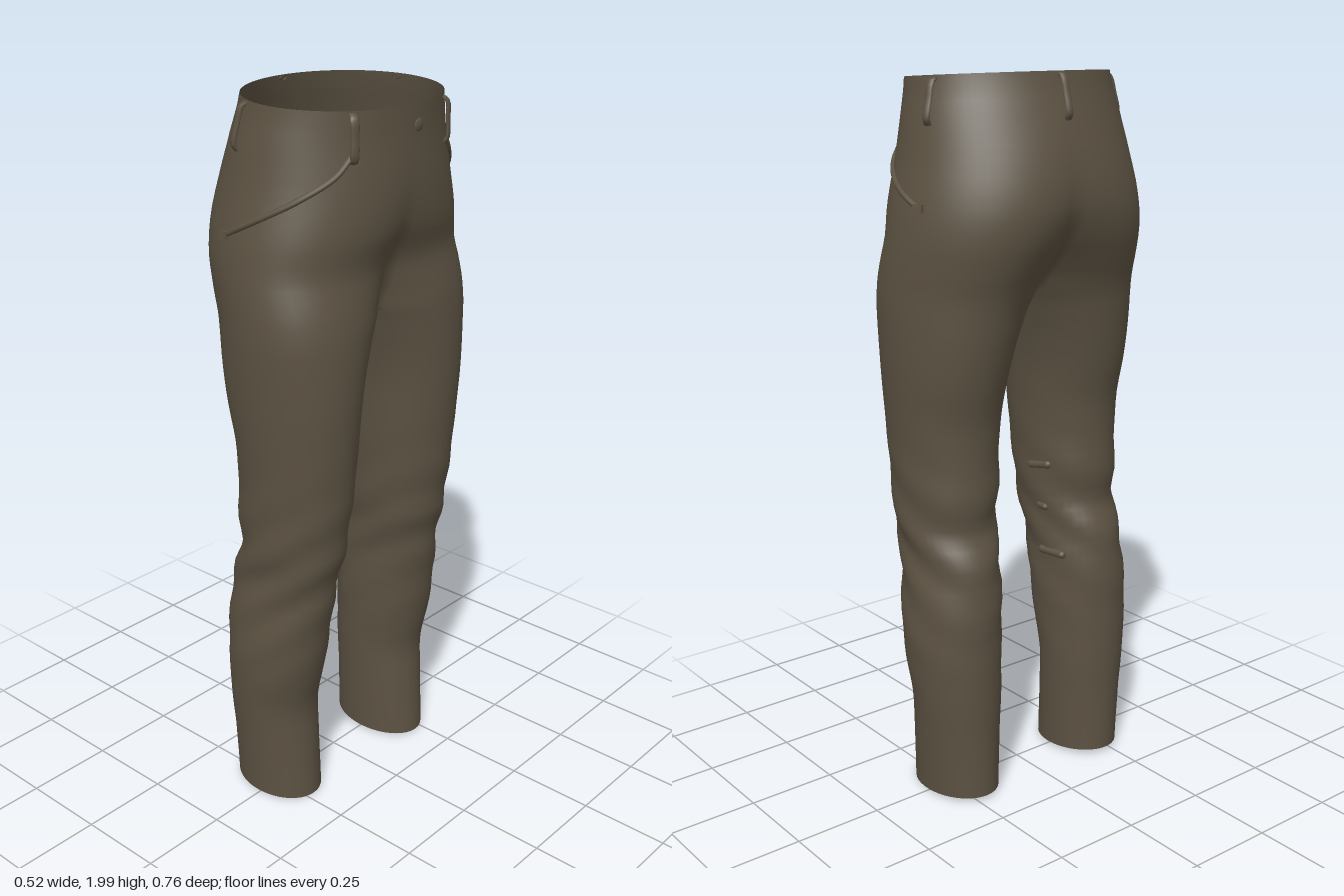
import * as THREE from 'three';
import { mergeVertices } from 'three/addons/utils/BufferGeometryUtils.js';

const CROTCH = 1.44, SPREAD = Math.sin(Math.PI / 3);

// cross-sections: height, back x, front x, inner z, outer z, roundness of the inner side
const SECTIONS = [
  [0.012, -0.147, 0.142, 0.122, 0.327, 1],
  [0.2, -0.147, 0.127, 0.115, 0.34, 1],
  [0.3, -0.15, 0.12, 0.11, 0.35, 1],
  [0.4, -0.15, 0.14, 0.105, 0.36, 1],
  [0.5, -0.15, 0.155, 0.1, 0.363, 1],
  [0.63, -0.147, 0.17, 0.1, 0.352, 1],
  [0.72, -0.13, 0.185, 0.095, 0.345, 1],
  [0.8, -0.105, 0.2, 0.085, 0.35, 1],
  [0.9, -0.115, 0.215, 0.077, 0.352, 1],
  [1.0, -0.11, 0.225, 0.07, 0.356, 1],
  [1.1, -0.117, 0.233, 0.062, 0.362, 1],
  [1.2, -0.14, 0.24, 0.052, 0.37, 1],
  [1.3, -0.16, 0.243, 0.035, 0.376, 0.97],
  [1.39, -0.175, 0.243, 0.015, 0.38, 0.91],
  [1.44, -0.188, 0.241, 0, 0.38, SPREAD],
  [1.5, -0.212, 0.234, 0, 0.378, 0.74],
  [1.58, -0.243, 0.226, 0, 0.372, 0.52],
  [1.67, -0.261, 0.251, 0, 0.36, 0.28],
  [1.78, -0.25, 0.262, 0, 0.336, 0.1],
  [1.9, -0.218, 0.26, 0, 0.314, 0],
  [2.0, -0.19, 0.26, 0, 0.295, 0],
];

// smooth section at any height
function sectionAt(y) {
  const last = SECTIONS.length - 1;
  let i = 0;
  while (i < last - 1 && y >= SECTIONS[i + 1][0]) i++;
  const t = THREE.MathUtils.clamp((y - SECTIONS[i][0]) / (SECTIONS[i + 1][0] - SECTIONS[i][0]), 0, 1);
  const [p, q, r, s] = [i - 1, i, i + 1, i + 2].map((k) => SECTIONS[THREE.MathUtils.clamp(k, 0, last)]);
  return q.map((b, k) => b + 0.5 * t * (r[k] - p[k]
    + t * (2 * p[k] - 5 * b + 4 * r[k] - s[k] + t * (3 * (b - r[k]) + s[k] - p[k]))));
}

// point of the cloth: angle 0 = front, PI/2 = outer side, PI = back
function clothPoint(y, a, side) {
  const [, xb, xf, zi, zo, round] = sectionAt(y);
  const S = THREE.MathUtils.clamp(round, 0, 1);
  const inner = y >= CROTCH - 1e-6 ? 0 : Math.max(zi, 0);
  const cos = Math.cos(a), sin = Math.sin(a);
  let x = (xb + xf) / 2 + (xf - xb) / 2 * cos;
  let z = inner + (zo - inner) * Math.max(0, (sin + S) / (1 + S));
  // thighs are fullest a little forward of the middle
  x += 0.03 * Math.max(0, sin) ** 2 * Math.exp(-(((y - 1.52) / 0.22) ** 2));
  // soft folds around the knee
  const fold = 0.005 * Math.exp(-(((y - 0.72) / 0.22) ** 2)) * Math.sin(40 * (y - 0.12 * cos) + sin);
  x += fold * cos;
  z += fold * sin;
  // the left shin is slimmer in front
  if (side > 0) x -= 0.01 * (1 + cos) * (1 - THREE.MathUtils.smoothstep(y, 0, 0.8));
  // waist and hem dip towards the front
  const dip = 0.025 * (x + 0.19) / 0.45 * THREE.MathUtils.smoothstep(y, 1.85, 2)
    + 0.007 * cos * (1 - THREE.MathUtils.smoothstep(y, 0, 0.15));
  return new THREE.Vector3(x, y - dip, z * side);
}

// outward direction of the cloth
function clothNormal(y, a, side) {
  const around = clothPoint(y, a + 0.03, side).sub(clothPoint(y, a - 0.03, side));
  const up = clothPoint(y + 0.02, a, side).sub(clothPoint(y - 0.02, a, side));
  return around.cross(up).multiplyScalar(side).normalize();
}

// angle at which the cloth has roughly the given x
function angleAtX(x, y) {
  const [, xb, xf] = sectionAt(y);
  return Math.acos(THREE.MathUtils.clamp((x - (xb + xf) / 2) / ((xf - xb) / 2), -1, 1));
}

// both legs are closed tubes that open into one hip shell above the crotch
function trouserGeometry() {
  const M = 36, N = 10, STEPS = 3, heights = [];
  for (let i = 0; i < SECTIONS.length - 1; i++) {
    for (let k = 0; k < STEPS; k++) {
      heights.push(THREE.MathUtils.lerp(SECTIONS[i][0], SECTIONS[i + 1][0], k / STEPS));
    }
  }
  heights.push(2);
  const positions = [], index = [], ring = M + N;
  for (const side of [1, -1]) {
    const base = positions.length / 3;
    heights.forEach((y, j) => {
      const a0 = Math.asin(THREE.MathUtils.clamp(sectionAt(y)[5], 0, SPREAD));
      const upper = y >= CROTCH - 1e-6;
      for (let k = 0; k < ring; k++) {
        const a = k <= M
          ? -a0 + (Math.PI + 2 * a0) * k / M
          : Math.PI + a0 + (Math.PI - 2 * a0) * (k - M) / N;
        const p = clothPoint(y, a, side);
        if (upper && (k === 0 || k >= M)) p.z = 0;
        positions.push(p.x, p.y, p.z);
      }
      if (j === heights.length - 1) return;
      for (let k = 0; k < (upper ? M : ring); k++) {
        const n = (k + 1) % ring;
        const a = base + j * ring + k, b = base + j * ring + n, c = a + ring, d = b + ring;
        // the angle runs from +x to +z on the left, so the left half winds a-c-b
        if (side > 0) index.push(a, c, b, b, c, d);
        else index.push(a, b, c, b, d, c);
      }
    });
  }
  let geo = new THREE.BufferGeometry();
  geo.setAttribute('position', new THREE.Float32BufferAttribute(positions, 3));
  geo.setIndex(index);
  geo = mergeVertices(geo, 1e-5);
  geo.computeVertexNormals();
  return geo;
}

export function createModel() {
  const model = new THREE.Group();
  model.name = 'trousers';
  const cloth = new THREE.MeshStandardMaterial({ color: 0x5c5242, side: THREE.DoubleSide });
  cloth.name = 'brownCloth';

  const add = (name, geo) => {
    const mesh = new THREE.Mesh(geo, cloth);
    mesh.name = name;
    model.add(mesh);
    return mesh;
  };
  // sets a mesh on the cloth, its z axis pointing outwards
  const place = (mesh, y, a, side, lift = 0) => {
    const n = clothNormal(y, a, side);
    if (n.x * Math.cos(a) + n.z * Math.sin(a) * side < 0) n.negate();
    mesh.position.copy(clothPoint(y, a, side)).addScaledVector(n, lift);
    mesh.lookAt(mesh.position.clone().add(n));
  };

  add('legsAndHips', trouserGeometry());

  // belt loops: flat bands bowed off the waist
  const band = new THREE.CatmullRomCurve3([[-0.06, -0.004], [-0.05, 0.008], [0, 0.012], [0.046, 0.011], [0.056, -0.004]]
    .map(([y, z]) => new THREE.Vector3(0, y, z)));
  const loopGeo = new THREE.TubeGeometry(band, 14, 0.006, 8).scale(2, 1, 1);
  for (const [x, y, side] of [[0.218, 1.925, 1], [0.218, 1.925, -1], [-0.04, 1.935, 1], [-0.03, 1.935, -1]]) {
    place(add('beltLoop', loopGeo), y, angleAtX(x, y), side);
  }
  place(add('backBeltLoop', loopGeo), 1.94, Math.PI - 0.04, -1);

  // curved front pocket edges
  for (const side of [1, -1]) {
    const path = [[0.218, 1.87], [0.2, 1.825], [0.14, 1.772], [0.07, 1.732], [0, 1.698], [-0.07, 1.665]]
      .map(([x, y]) => clothPoint(y, angleAtX(x, y), side));
    add('pocketEdge', new THREE.TubeGeometry(new THREE.CatmullRomCurve3(path), 36, 0.008, 8));
    const end = add('pocketEnd', new THREE.BoxGeometry(0.03, 0.02, 0.016));
    place(end, 1.668, angleAtX(-0.065, 1.668), side);
  }

  // waist button, mostly sunk into the cloth
  const button = add('button', new THREE.SphereGeometry(0.021, 16, 10).scale(1, 1, 0.5));
  place(button, 1.94, 0.08, -1, -0.006);

  // torn patches on the inner side of the left knee
  for (const [y, width, turn] of [[0.9, 0.06, 0.15], [0.775, 0.02, -0.1], [0.64, 0.075, 0]]) {
    const tear = add('kneeTear', new THREE.CapsuleGeometry(0.012, width, 4, 8).rotateZ(Math.PI / 2 + turn));
    place(tear, y, Math.PI * 1.41, 1, -0.004);
  }
  return model;
}
